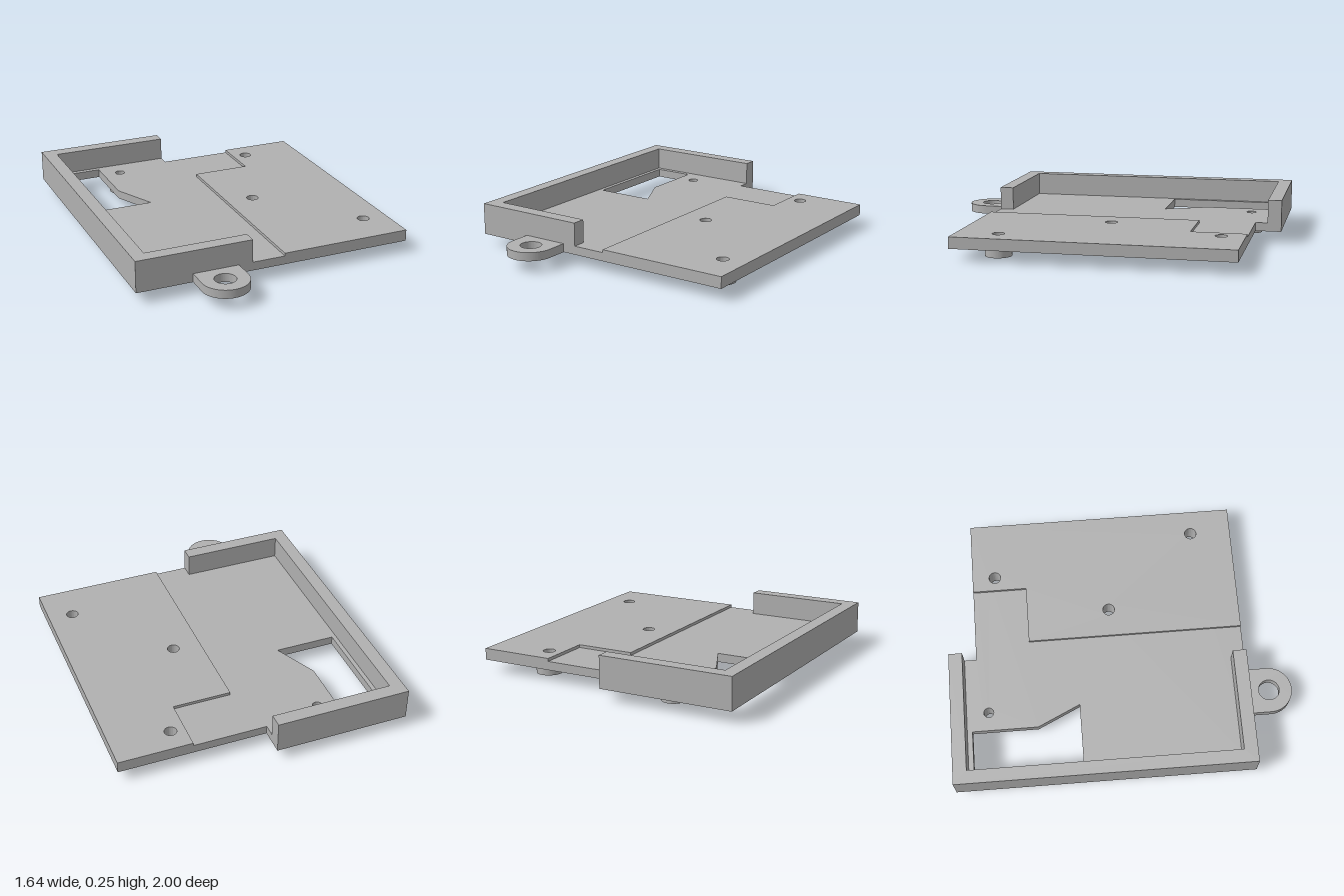
import * as THREE from 'three';
import { toCreasedNormals } from 'three/addons/utils/BufferGeometryUtils.js';

// Heights of the stacked layers
const BASE = 0.07, FLOOR = 0.12, PAD = 0.137, RIM = 0.255;

// Plan points are [x, z]; shapes use y = -z so that they extrude upwards
const outline = (pts, Type = THREE.Shape) =>
  new Type(pts.map(([x, z]) => new THREE.Vector2(x, -z)));

const circle = (x, z, r, Type = THREE.Path) =>
  new Type().absarc(x, -z, r, 0, Math.PI * 2, false);

export function createModel() {
  const group = new THREE.Group();
  const grey = new THREE.MeshStandardMaterial({ color: 0xb0b0b0 });
  grey.name = 'grey plastic';

  const slab = (name, shape, y0, y1, holes = []) => {
    shape.holes.push(...holes);
    let geo = new THREE.ExtrudeGeometry(shape, {
      depth: y1 - y0, bevelEnabled: false, curveSegments: 40,
    });
    geo.rotateX(-Math.PI / 2);
    geo.translate(0, y0, 0);
    geo = toCreasedNormals(geo, 0.6);
    const mesh = new THREE.Mesh(geo, grey);
    mesh.name = name;
    group.add(mesh);
  };

  // Screw positions: x, z, boss radius, hole radius, boss bottom
  const screws = [
    [0.213, -0.04, 0.075, 0.035, 0.013],
    [0.473, -0.715, 0.075, 0.035, 0.013],
    [0.675, 0.5, 0.075, 0.035, 0.013],
    [-0.374, -0.79, 0.067, 0.029, 0],
  ];
  const screwHoles = (list) => list.map(([x, z, , r]) => circle(x, z, r));

  // Floor plate with the cut-out window
  const windowHole = outline([
    [-0.72, -0.89], [-0.483, -0.89], [-0.483, -0.505], [-0.365, -0.255], [-0.72, -0.255],
  ], THREE.Path);
  slab('floorPlate', outline([
    [-0.823, 0.743], [0.82, 0.743], [0.82, -0.85], [-0.04, -0.85], [-0.04, -1], [-0.823, -1],
  ]), BASE, FLOOR, [windowHole, ...screwHoles(screws)]);

  // Slightly raised pad on the open side
  slab('raisedPad', outline([
    [0.048, 0.743], [0.82, 0.743], [0.82, -0.85], [0.39, -0.85], [0.39, -0.53], [0.048, -0.53],
  ]), FLOOR, PAD, screwHoles(screws.slice(0, 3)));

  // C-shaped rim wall
  slab('rimWall', outline([
    [-0.147, 0.743], [-0.147, 0.663], [-0.745, 0.663], [-0.745, -0.92],
    [-0.04, -0.92], [-0.04, -1], [-0.823, -1], [-0.823, 0.743],
  ]), FLOOR, RIM);

  // Rounded mounting tab at the front
  const tx = -0.363, tz = 0.865, tr = 0.135;
  const tab = new THREE.Shape();
  tab.moveTo(tx + tr, -0.743);
  tab.lineTo(tx - tr, -0.743);
  tab.lineTo(tx - tr, -tz);
  tab.absarc(tx, -tz, tr, Math.PI, Math.PI * 2, false);
  slab('mountingTab', tab, BASE, FLOOR, [circle(tx, tz, 0.061)]);

  // Hollow screw bosses underneath
  screws.forEach(([x, z, r, hole, y0], i) =>
    slab(`screwBoss${i + 1}`, circle(x, z, r, THREE.Shape), y0, BASE, [circle(x, z, hole)]));

  return group;
}
